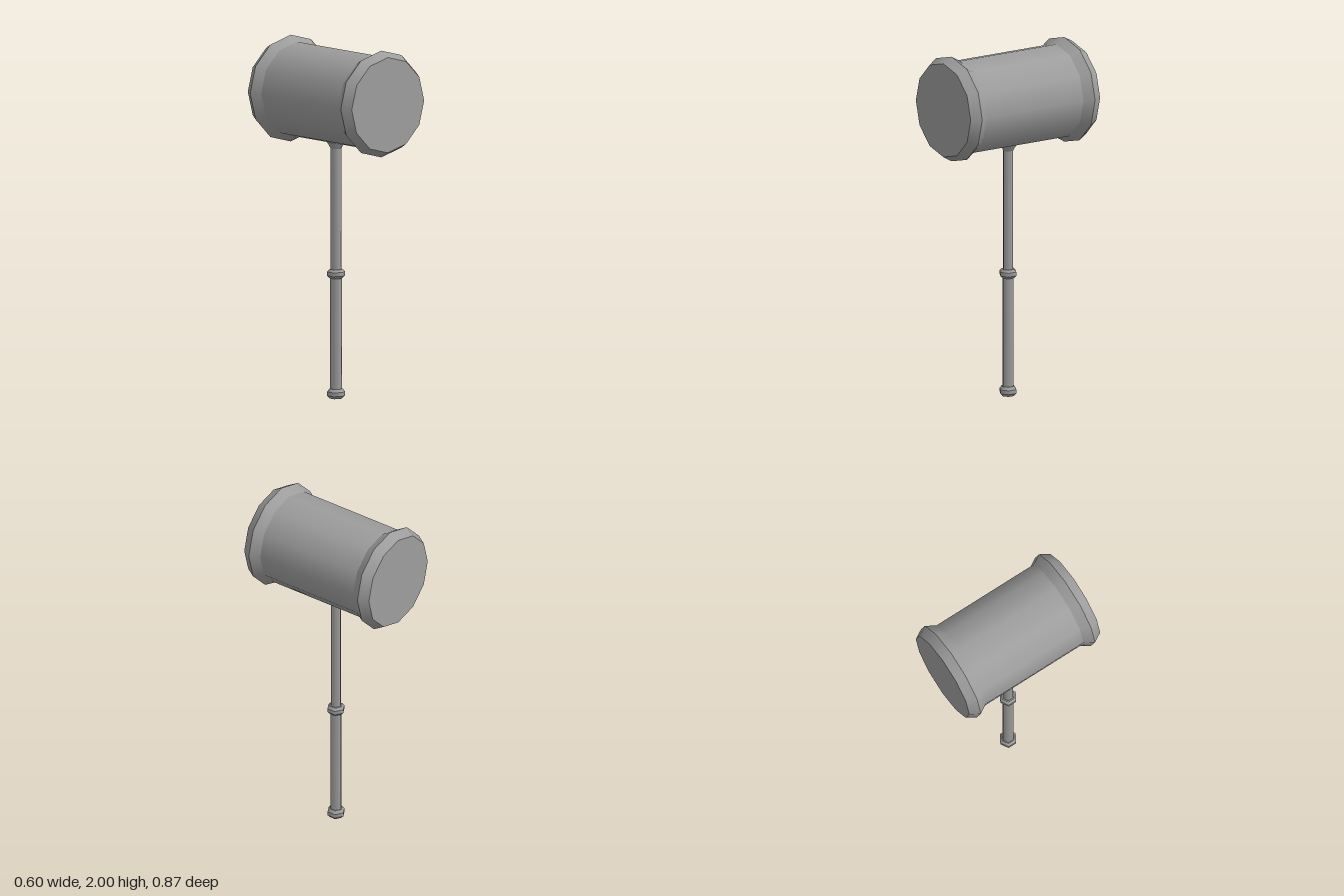
import * as THREE from 'three';
import { mergeGeometries } from 'three/addons/utils/BufferGeometryUtils.js';

const material = new THREE.MeshStandardMaterial({ color: 0x9d9d9d });

// Turned solid: smooth around the axis, sharp between profile bands.
// The profile is [radius, height] from bottom to top.
function turned(name, profile, sides) {
  const points = profile.map(([r, y]) => new THREE.Vector2(r, y));
  const bands = [];
  for (let i = 0; i < points.length - 1; i++) {
    const band = new THREE.LatheGeometry([points[i], points[i + 1]], sides);
    band.normalizeNormals();
    bands.push(band);
  }
  const mesh = new THREE.Mesh(mergeGeometries(bands), material);
  mesh.name = name;
  return mesh;
}

export function createModel() {
  const model = new THREE.Group();
  model.name = 'mallet';

  // Twelve-sided head with a flared rim at each end, lying along z
  const half = [[0.267, 0.326], [0.3, 0.381], [0.268, 0.437], [0, 0.437]];
  const mirrored = half.map(([r, y]) => [r, -y]).reverse();
  const head = turned('head', [...mirrored, ...half], 12);
  head.rotation.x = Math.PI / 2;
  head.position.y = 1.7;
  model.add(head);

  // Six-sided handle parts, stacked upwards
  const handle = new THREE.Group();
  handle.name = 'handle';
  handle.add(
    turned('pommel', [[0, 0], [0.036, 0], [0.051, 0.016], [0.051, 0.038], [0.038, 0.055], [0, 0.055]], 6),
    turned('grip', [[0.034, 0.05], [0.034, 0.685]], 6),
    turned('gripRing', [[0, 0.677], [0.038, 0.677], [0.051, 0.691], [0.051, 0.713], [0.038, 0.727], [0, 0.727]], 6),
    turned('shaft', [[0.03, 0.72], [0.03, 1.42]], 6),
    turned('headCollar', [[0.03, 1.406], [0.051, 1.443], [0, 1.443]], 6),
  );
  model.add(handle);
  return model;
}
